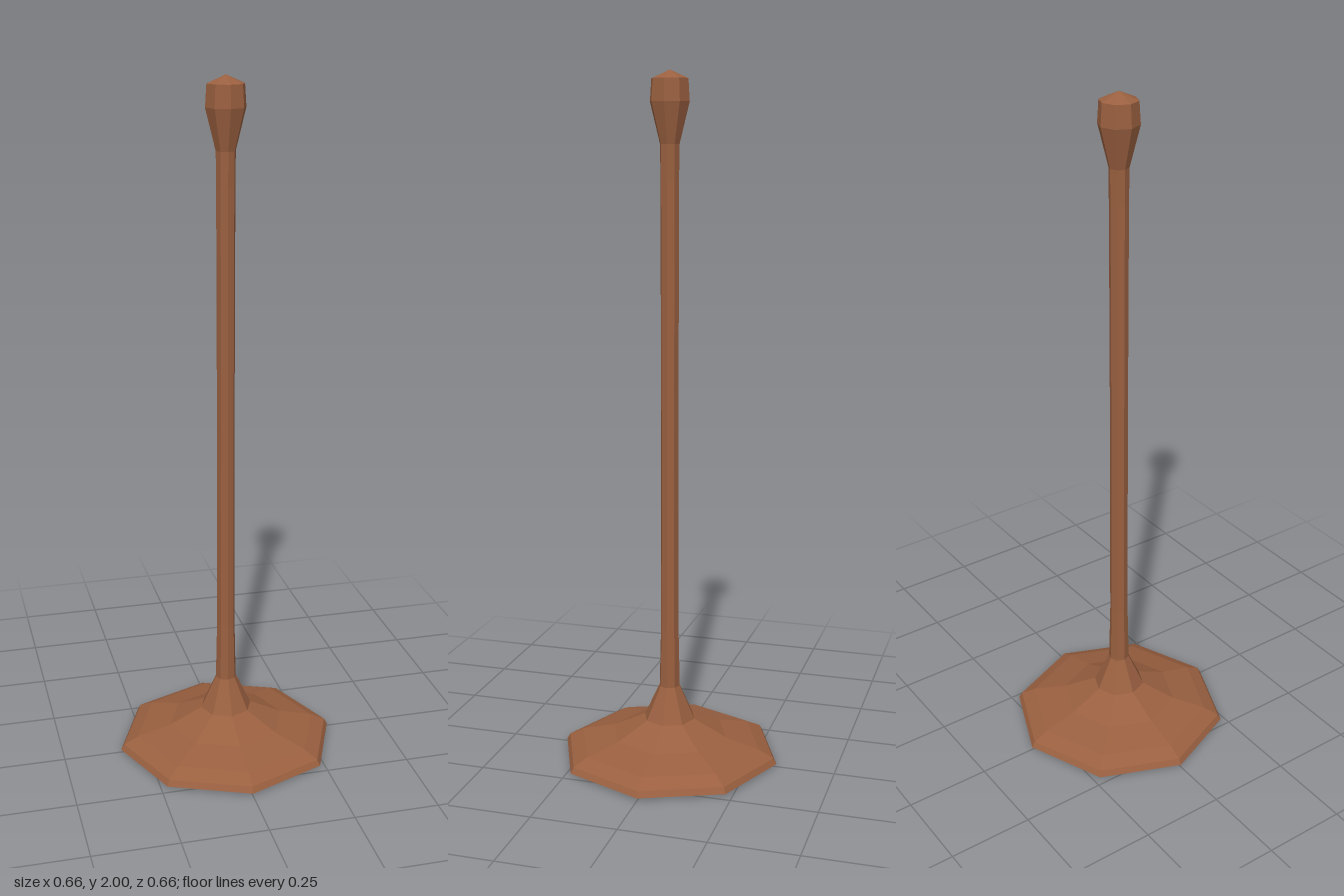
import * as THREE from 'three';

const SIDES = 8;

export function createModel() {
  const group = new THREE.Group();
  const wood = new THREE.MeshStandardMaterial({ color: 0x9a6040, flatShading: true });

  // Octagonal turned part from [radius, height] pairs, listed bottom to top
  const turned = (name, profile) => {
    const points = profile.map(([r, y]) => new THREE.Vector2(r, y));
    const mesh = new THREE.Mesh(new THREE.LatheGeometry(points, SIDES), wood);
    mesh.name = name;
    group.add(mesh);
  };

  // Wide foot with a closed underside, stepping up to the neck
  turned('base', [
    [0, 0], [0.26, 0], [0.328, 0.008], [0.318, 0.025],
    [0.274, 0.047], [0.174, 0.073], [0.077, 0.12],
  ]);

  // Flared collar joining foot and pole
  turned('collar', [[0.077, 0.12], [0.031, 0.22]]);

  // Long slender pole, slightly thicker at both ends
  turned('pole', [[0.031, 0.22], [0.027, 0.4], [0.026, 1.0], [0.027, 1.7], [0.028, 1.8]]);

  // Swelling knob with a shallow pointed cap
  turned('knob', [[0.028, 1.8], [0.057, 1.915], [0.053, 1.977], [0, 2]]);

  return group;
}
